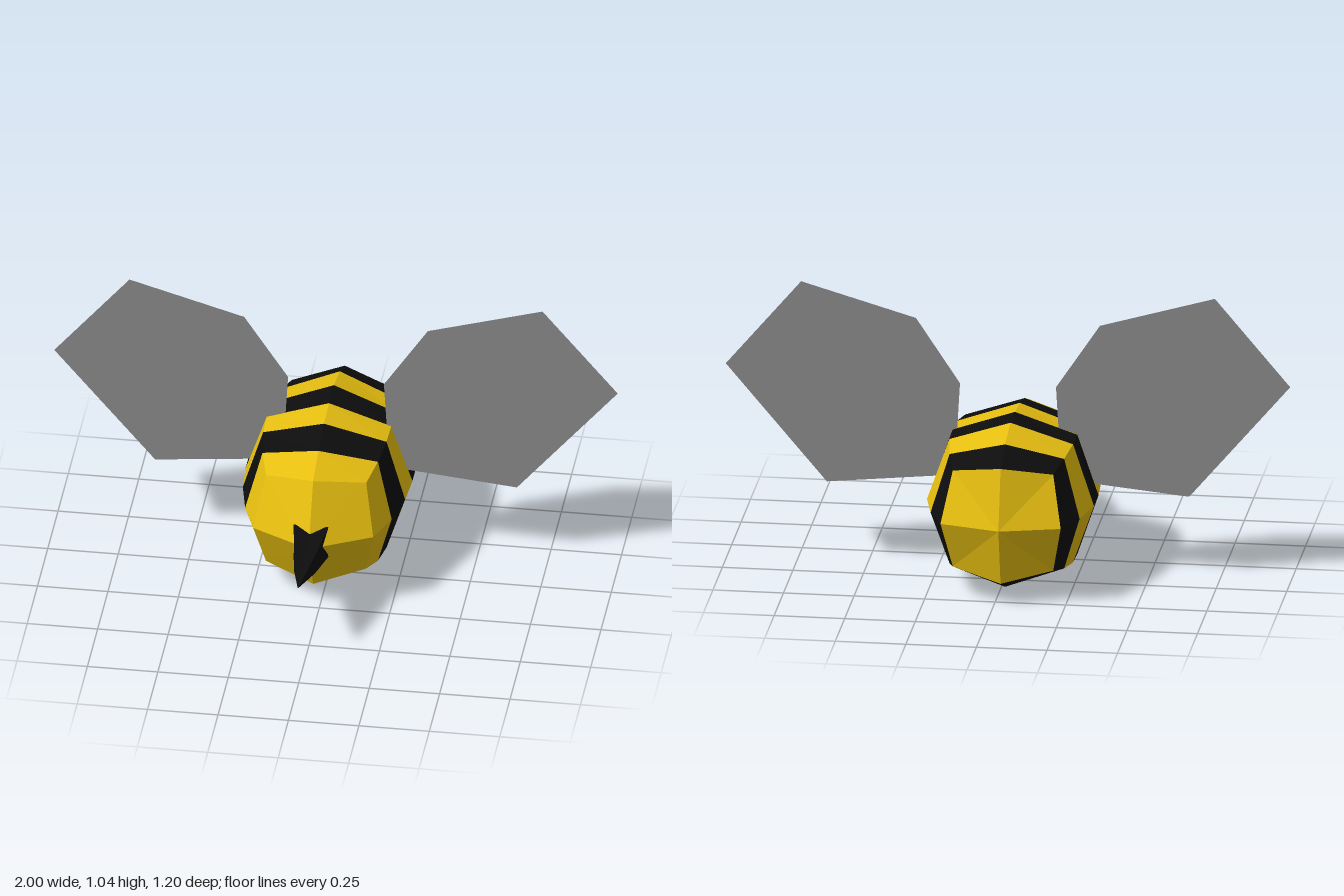
import * as THREE from 'three';

const yellow = new THREE.MeshStandardMaterial({ color: 0xe6be10, flatShading: true });
yellow.name = 'honeyYellow';
const black = new THREE.MeshStandardMaterial({ color: 0x0d0d0d, flatShading: true });
black.name = 'stripeBlack';
const grey = new THREE.MeshStandardMaterial({ color: 0x8a8a8a, side: THREE.DoubleSide });
grey.name = 'wingGrey';

const CX = -0.025, CY = 0.297;

// Eight-sided ring: even points lie on the axes, odd points on the diagonals
function ring([zAxis, rAxis, zDiag, dDiag]) {
  return Array.from({ length: 8 }, (_, k) => {
    const a = (k * Math.PI) / 4;
    const r = k % 2 ? dDiag * Math.SQRT2 : rAxis;
    return [r * Math.cos(a), r * Math.sin(a), k % 2 ? zDiag : zAxis];
  });
}

// Skin consecutive rings, running from +z to -z, with flat facets
function loft(sections, material, name) {
  const rings = sections.map(ring);
  const pos = [];
  for (let i = 0; i + 1 < rings.length; i++) {
    for (let k = 0; k < 8; k++) {
      const n = (k + 1) % 8;
      const a = rings[i][k], b = rings[i + 1][k], c = rings[i + 1][n], d = rings[i][n];
      if (sections[i + 1][1] > 0) pos.push(...a, ...b, ...c);
      if (sections[i][1] > 0) pos.push(...a, ...c, ...d);
    }
  }
  const geo = new THREE.BufferGeometry();
  geo.setAttribute('position', new THREE.Float32BufferAttribute(pos, 3));
  geo.computeVertexNormals();
  const mesh = new THREE.Mesh(geo, material);
  mesh.name = name;
  mesh.position.set(CX, CY, 0);
  return mesh;
}

export function createModel() {
  const model = new THREE.Group();
  model.name = 'bee';

  // Striped body: [z on axes, radius on axes, z on diagonals, diagonal offset]
  const sections = [
    [0.337, 0, 0.337, 0],
    [0.227, 0.213, 0.155, 0.178],
    [0.10, 0.26, 0.055, 0.205],
    [-0.036, 0.288, -0.058, 0.219],
    [-0.16, 0.296, -0.16, 0.221],
    [-0.28, 0.296, -0.259, 0.219],
    [-0.424, 0.264, -0.375, 0.203],
    [-0.544, 0.213, -0.479, 0.178],
    [-0.602, 0, -0.602, 0],
  ];
  const body = new THREE.Group();
  body.name = 'body';
  for (let i = 0; i + 1 < sections.length; i++) {
    const dark = i === 2 || i === 4 || i === 6;
    body.add(loft(sections.slice(i, i + 2), dark ? black : yellow, (dark ? 'blackBand' : 'yellowBand') + i));
  }
  model.add(body);

  // Four-cornered stinger with slightly hollow sides
  model.add(loft([
    [0.6, 0, 0.6, 0],
    [0.434, 0.033, 0.434, 0.037],
    [0.28, 0.05, 0.28, 0.062],
    [0.28, 0, 0.28, 0],
  ], black, 'stinger'));

  // Flat upright wings, mirrored
  const outline = [[0.19, 0.35], [0.642, 0.305], [1, 0.727], [0.733, 1.043], [0.326, 0.925], [0.17, 0.69]];
  for (const side of [1, -1]) {
    const shape = new THREE.Shape(outline.map(([x, y]) => new THREE.Vector2(side * x, y)));
    const wing = new THREE.Mesh(new THREE.ShapeGeometry(shape), grey);
    wing.name = side > 0 ? 'leftWing' : 'rightWing';
    wing.position.z = -0.158;
    model.add(wing);
  }
  return model;
}
